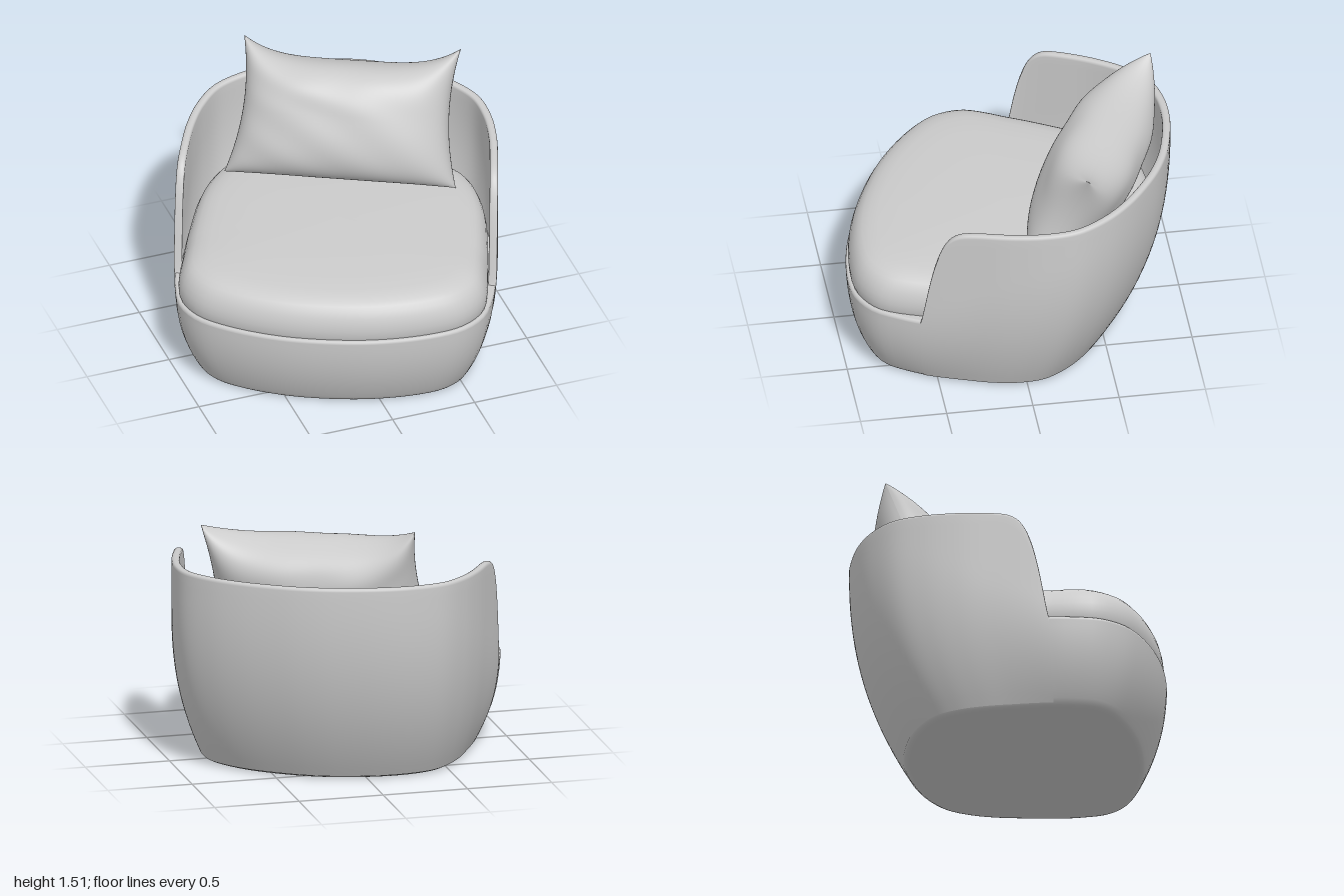
import * as THREE from 'three';

const material = new THREE.MeshStandardMaterial({ color: 0xcccccc, side: THREE.DoubleSide });
const V = (x, y, z) => new THREE.Vector3(x, y, z);

// Skin a grid of points given as rows; closed rows wrap around.
function skin(name, rows, closed) {
  const n = rows[0].length, index = [];
  for (let j = 0; j < rows.length - 1; j++) {
    for (let i = 0; i < (closed ? n : n - 1); i++) {
      const a = j * n + i, b = j * n + (i + 1) % n;
      index.push(a, b, b + n, a, b + n, a + n);
    }
  }
  const geometry = new THREE.BufferGeometry().setFromPoints(rows.flat());
  geometry.setIndex(index);
  geometry.computeVertexNormals();
  const mesh = new THREE.Mesh(geometry, material);
  mesh.name = name;
  return mesh;
}

// Plan outline: front centre, round the left side, to the back centre, then mirrored.
const half = [[0, 0.88], [0.3, 0.858], [0.6, 0.778], [0.775, 0.685], [0.878, 0.55], [0.912, 0.39], [0.925, 0.22],
  [0.91, -0.07], [0.888, -0.29], [0.842, -0.48], [0.757, -0.65], [0.6, -0.78], [0.41, -0.867], [0.15, -0.927], [0, -0.938]];
const mirrored = half.slice(1, -1).reverse().map(([x, z]) => [-x, z]);
const outline = new THREE.CatmullRomCurve3([...half, ...mirrored].map(([x, z]) => V(x, 0, z)), true);
outline.arcLengthDivisions = 800;

// Point of the tub at arc position s and height y; the sides curve in towards the floor.
function tub(s, y, inset = 0, scale = 1) {
  const p = outline.getPointAt(s), t = outline.getTangentAt(s);
  const reach = 0.55 + 0.5 * (0.35 - Math.min(p.z, 0.35));
  const k = Math.max(0, 1 - y / reach) ** 2.3;
  const x = (p.x + t.z * inset) * scale, z = (p.z - t.x * inset) * scale;
  return V(x * (1 - 0.16 * k) + 0.03, y, z * (1 - 0.25 * k) + 0.085 * k);
}

const COUNT = 112;
const ring = (f) => Array.from({ length: COUNT }, (_, i) => f(i / COUNT));

function makeBase() {
  const profile = [[0, 0, 0.001], [0, 0, 0.96], [0.002, 0, 0.975], [0.008, 0.008, 1], [0.018, 0.002, 1]];
  for (let y = 0.04; y < 0.48; y += 0.04) profile.push([y, 0, 1]);
  profile.push([0.485, 0, 1], [0.495, 0.003, 1], [0.5, 0.01, 1], [0.5, 0.014, 1], [0.5, 0.06, 1], [0.5, 0, 0.5]);
  return skin('base', profile.map(([y, inset, scale]) => ring((s) => tub(s, y, inset, scale))), true);
}

function makeSeat() {
  const profile = [[0.495, 0.01, 1], [0.52, 0.002, 1], [0.56, 0, 1], [0.6, 0, 0.995], [0.64, 0, 0.982], [0.675, 0, 0.962],
    [0.7, 0, 0.938], [0.717, 0, 0.91], [0.732, 0, 0.868], [0.743, 0, 0.81], [0.754, 0, 0.68], [0.764, 0, 0.4], [0.766, 0, 0.001]];
  // The cushion is tucked in further where the arms wrap round it.
  const tuck = (s) => 0.048 - 0.033 * THREE.MathUtils.smoothstep(outline.getPointAt(s).z, 0.2, 0.5);
  return skin('seatCushion', profile.map(([y, inset, scale]) => ring((s) => tub(s, y, inset + tuck(s), scale))), true);
}

// Rim height: rises steeply from the arm front, rounds over, then climbs gently to the back.
const ARM_FRONT = 0.25;
function rimHeight(z) {
  const d = Math.max(0, ARM_FRONT - z);
  return 0.5 + 0.67 * (1 - Math.exp(-((d / 0.087) ** 1.3))) + Math.max(0, d - 0.3) * 0.055;
}

function makeShell() {
  // Find where the outline meets the front of the arm.
  let lo = 0.1, hi = 0.5;
  for (let i = 0; i < 40; i++) {
    const mid = (lo + hi) / 2;
    if (outline.getPointAt(mid).z > ARM_FRONT) lo = mid; else hi = mid;
  }
  const columns = Array.from({ length: 161 }, (_, i) => {
    const s = lo + (1 - 2 * lo) * (0.5 - 0.5 * Math.cos(Math.PI * i / 160));
    return { s, top: rimHeight(outline.getPointAt(s).z) };
  });
  const rows = [], thick = 0.047, r = 0.02;
  const addRow = (height, inset) => rows.push(columns.map(({ s, top }) => tub(s, height(top), inset)));
  // Outside face
  for (let j = 0; j <= 20; j++) addRow((top) => 0.015 + (top - r - 0.015) * j / 20, -0.003);
  // Rounded rim
  for (let j = 1; j < 8; j++) {
    const a = Math.PI * j / 8;
    addRow((top) => top - r + r * Math.sin(a) ** 0.7, -0.003 + thick * (1 - Math.cos(a)) / 2);
  }
  // Inside face, thinning slightly towards the seat
  for (let j = 0; j <= 14; j++) addRow((top) => top - r + (0.42 - top + r) * j / 14, thick - 0.003 - 0.02 * j / 14);
  return skin('wraparoundBack', rows, false);
}

function makePillow() {
  const N = 48;
  const bl = V(-0.43, 0.76, -0.64), br = V(0.76, 0.76, -0.03);
  const tl = V(-0.225, 1.515, -0.87), tr = V(0.905, 1.495, -0.34);
  const across = br.clone().sub(bl).normalize();
  const up = tl.clone().sub(bl).add(tr).sub(br).normalize();
  const normal = across.clone().cross(up).normalize();
  const face = (side) => Array.from({ length: N + 1 }, (_, j) => Array.from({ length: N + 1 }, (_, i) => {
    // Sample densely near the edges
    const a = Math.sin((i / N - 0.5) * Math.PI), b = Math.sin((j / N - 0.5) * Math.PI);
    const p = bl.clone().lerp(br, (a + 1) / 2).lerp(tl.clone().lerp(tr, (a + 1) / 2), (b + 1) / 2);
    // Edges pull inwards between the pointed corners
    p.addScaledVector(across, -0.055 * a * (1 - b * b));
    p.addScaledVector(up, -(b > 0 ? 0.115 : 0.01) * b * (1 - a ** 4));
    const plump = Math.max(0, (1 - Math.abs(a) ** 2.6) * (1 - Math.abs(b) ** 2.8));
    const creases = 0.007 * Math.sin(7 * a + 3 * b) * Math.sin(5 * b - 4 * a * b + 1) * Math.sqrt(plump);
    return p.addScaledVector(normal, side * (0.255 * plump ** 0.45 + creases));
  }));
  const pillow = new THREE.Group();
  pillow.name = 'pillow';
  pillow.add(skin('pillowFront', face(1), false));
  pillow.add(skin('pillowBack', face(-1).map((row) => row.reverse()), false));
  return pillow;
}

export function createModel() {
  const model = new THREE.Group();
  model.name = 'tubArmchair';
  // The chair stands turned a little to one side
  const chair = new THREE.Group();
  chair.name = 'chair';
  chair.rotation.y = THREE.MathUtils.degToRad(-24);
  chair.add(makeBase(), makeSeat(), makeShell());
  model.add(chair, makePillow());
  return model;
}
